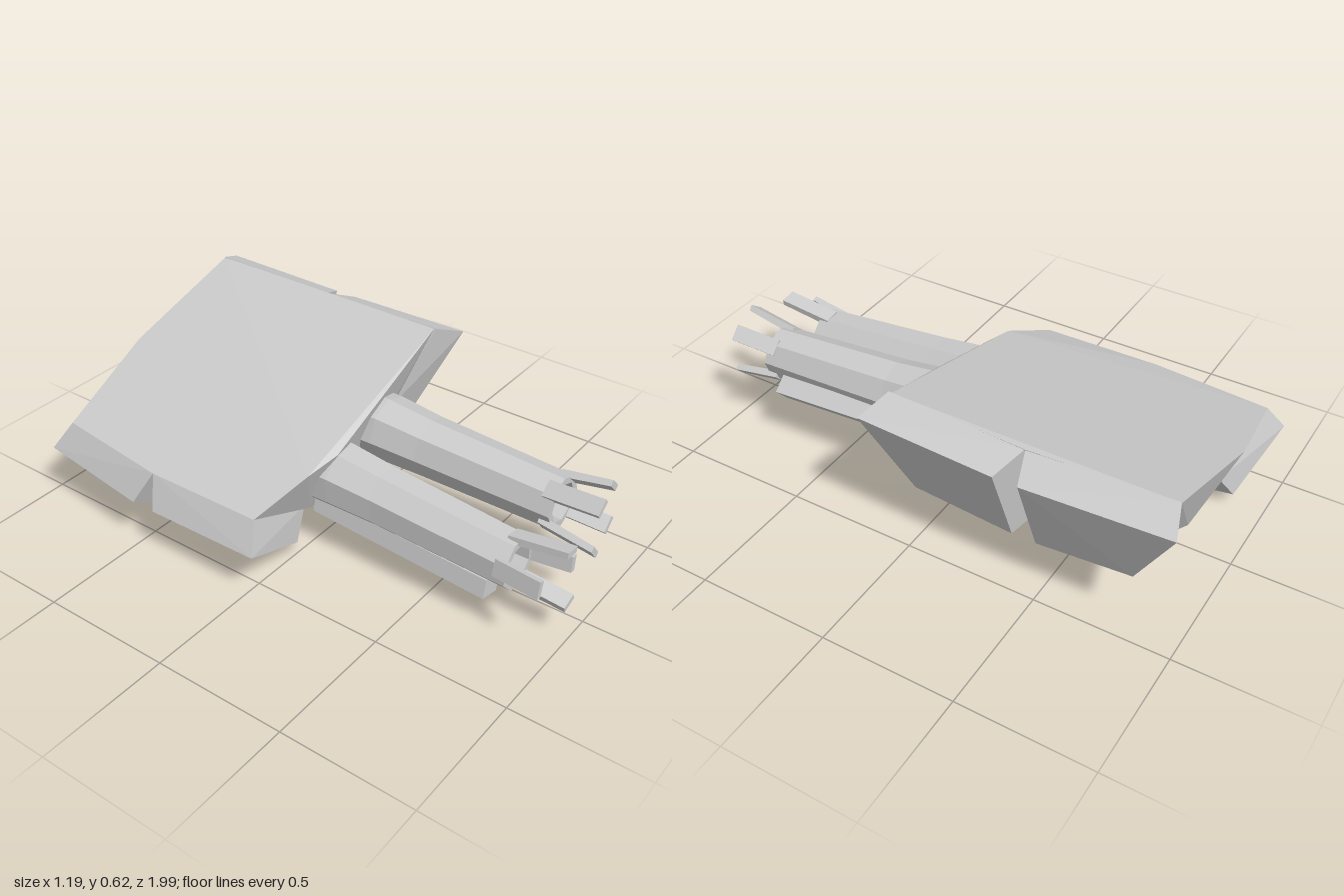
import * as THREE from 'three';
import { ConvexGeometry } from 'three/addons/geometries/ConvexGeometry.js';

const material = new THREE.MeshStandardMaterial({ color: 0xcccccc, flatShading: true });
const V = (x, y, z) => new THREE.Vector3(x, y, z);
const polar = (c, r, a, z) => V(c.x + r * Math.cos(a), c.y + r * Math.sin(a), z);

function hull(name, points) {
  const mesh = new THREE.Mesh(new ConvexGeometry(points.map((p) => (p.isVector3 ? p : V(...p)))), material);
  mesh.name = name;
  return mesh;
}

// Side plate from its front end and its end at the gap:
// each end is [inner top, outer top, outer bottom, inner bottom]
function plate(name, endA, endB) {
  return hull(name, [...endA, ...endB]);
}

// Closed skin over rings [x, y, z, radius], with a cap on the last ring
function loft(rings, sides, turn) {
  const pos = [], index = [];
  for (const [x, y, z, r] of rings)
    for (let i = 0; i < sides; i++) pos.push(...polar({ x, y }, r, turn + (i / sides) * Math.PI * 2, z));
  for (let k = 0; k < rings.length - 1; k++)
    for (let i = 0; i < sides; i++) {
      const j = (i + 1) % sides, a = k * sides + i, b = k * sides + j;
      index.push(a, b, b + sides, a, b + sides, a + sides);
    }
  const last = (rings.length - 1) * sides;
  for (let i = 1; i < sides - 1; i++) index.push(last, last + i, last + i + 1);
  const geo = new THREE.BufferGeometry();
  geo.setAttribute('position', new THREE.Float32BufferAttribute(pos, 3));
  geo.setIndex(index);
  const flat = geo.toNonIndexed();
  flat.computeVertexNormals();
  return flat;
}

// Slab along z at a given angle; stations are [centre, z, inner radius, outer radius]
function slab(name, degrees, halfWidth, stations) {
  const a = THREE.MathUtils.degToRad(degrees);
  const side = V(-Math.sin(a), Math.cos(a), 0);
  const pts = [];
  for (const [c, z, r0, r1] of stations)
    for (const r of [r0, r1])
      for (const s of [-1, 1]) pts.push(polar(c, r, a, z).addScaledVector(side, s * halfWidth));
  return hull(name, pts);
}

function barrel(name, base, tip, prongAngles, stripAngle, turn) {
  const group = new THREE.Group();
  group.name = name;
  const tube = new THREE.Mesh(loft([
    [base.x, base.y, -0.1, 0.125],
    [base.x, base.y, 0.1, 0.122],
    [base.x + (tip.x - base.x) * 0.3, base.y - 0.012, 0.28, 0.112],
    [tip.x, tip.y, 0.81, 0.1],
    [tip.x, tip.y, 0.81, 0.074],
    [tip.x, tip.y, 0.55, 0.07],
  ], 8, turn), material);
  tube.name = 'hollowTube';
  group.add(tube);
  // splayed prongs around the muzzle
  prongAngles.forEach((deg, i) => group.add(
    slab('prong', deg, 0.031, [[tip, 0.77, 0.074, 0.102], [tip, 0.95 + 0.035 * (i % 2), 0.105, 0.128]])));
  // long strip along the lower side
  group.add(slab('strip', stripAngle, 0.045, [[base, 0.02, 0.09, 0.155], [tip, 0.73, 0.085, 0.155]]));
  return group;
}

export function createModel() {
  const model = new THREE.Group();
  model.name = 'twinBarrelPod';

  // tilted wedge body: wide top, shallow keel below
  model.add(hull('body', [
    [-0.535, 0.31, 0.02], [-0.33, 0.4, 0.09], [-0.19, 0.42, 0.11], [0.16, 0.53, 0.09], [0.46, 0.62, 0.07],
    [0.475, 0.61, -0.44], [0.46, 0.62, -0.96], [-0.05, 0.46, -0.97], [-0.49, 0.32, -0.9], [-0.54, 0.31, -0.44],
    [0.31, 0.3, -0.02], [0.335, 0.265, -0.44], [0.31, 0.3, -0.84],
    [-0.21, 0.16, 0], [-0.2, 0.125, -0.44], [-0.2, 0.17, -0.86],
    [0.09, 0.197, 0], [0.09, 0.108, -0.43], [-0.1, 0.115, -0.43], [0.09, 0.19, -0.86],
  ]));

  // left plates, split at the middle by a narrow wedge gap
  const leftMid = (z) => [[0.47, 0.61, -0.44], [0.59, 0.56, z], [0.46, 0.22, z], [0.33, 0.265, -0.44]];
  model.add(plate('leftFrontPlate',
    [[0.46, 0.623, 0.08], [0.58, 0.575, 0.125], [0.46, 0.25, -0.01], [0.31, 0.3, -0.03]], leftMid(-0.39)));
  model.add(plate('leftBackPlate',
    [[0.46, 0.623, -0.96], [0.575, 0.575, -1], [0.46, 0.25, -0.83], [0.31, 0.3, -0.82]], leftMid(-0.48)));

  // right plates
  const rightMid = (z) => [[-0.54, 0.31, -0.44], [-0.597, 0.195, z], [-0.268, 0.003, z], [-0.2, 0.13, -0.44]];
  model.add(plate('rightFrontPlate',
    [[-0.535, 0.31, 0.02], [-0.595, 0.2, 0.055], [-0.285, 0.05, 0], [-0.215, 0.165, -0.02]], rightMid(-0.4)));
  model.add(plate('rightBackPlate',
    [[-0.49, 0.32, -0.9], [-0.55, 0.22, -0.955], [-0.285, 0.055, -0.885], [-0.21, 0.165, -0.85]], rightMid(-0.495)));

  // twin hollow barrels
  model.add(barrel('rightBarrel', { x: -0.135, y: 0.3 }, { x: -0.135, y: 0.25 }, [165, 82, -5, -70], -103, Math.PI / 8));
  model.add(barrel('leftBarrel', { x: 0.135, y: 0.365 }, { x: 0.147, y: 0.33 }, [45, 128, -45, -140], -42, 0.05));
  return model;
}
